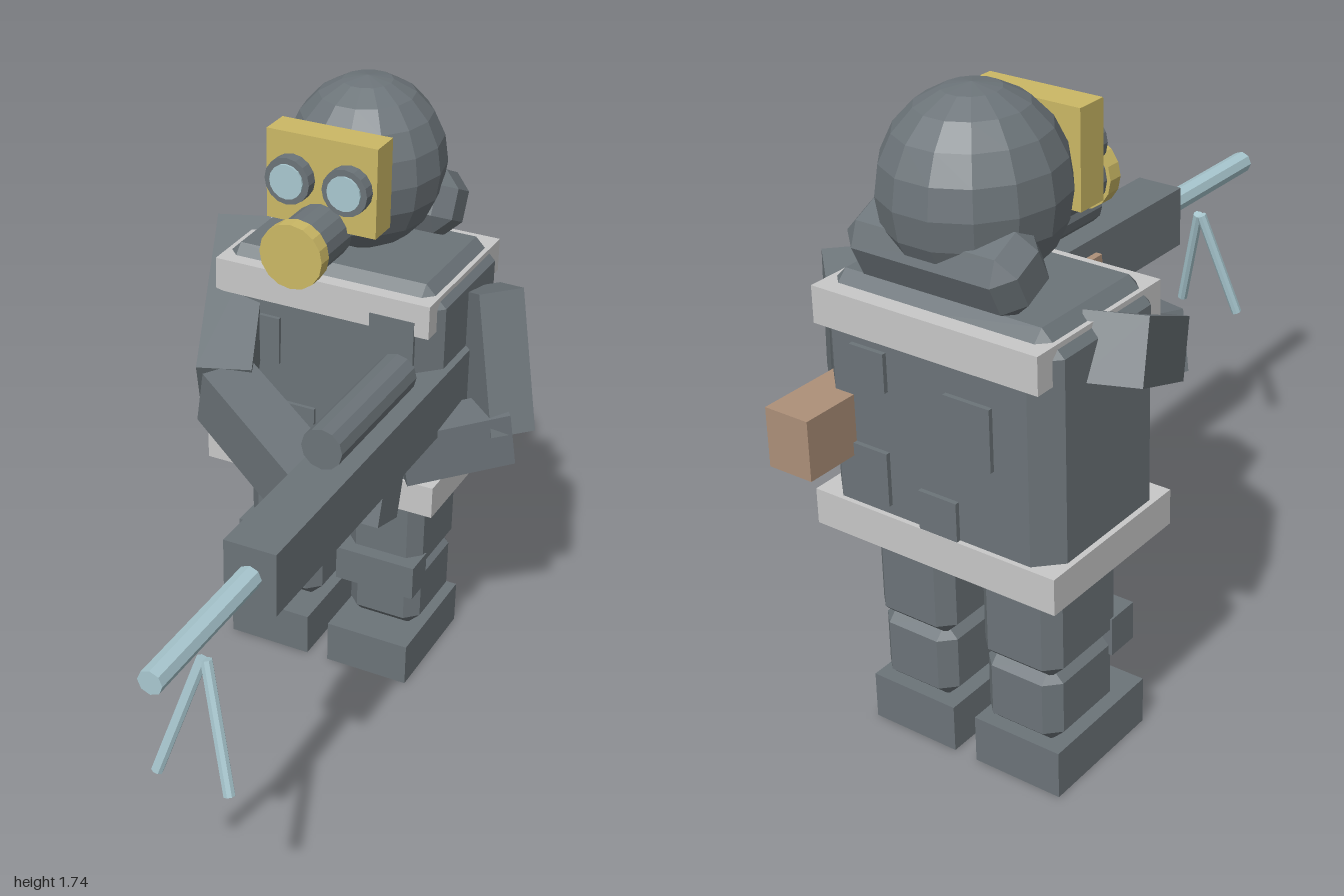
import * as THREE from 'three';
import { ConvexGeometry } from 'three/addons/geometries/ConvexGeometry.js';

const material = (name, color) => {
  const m = new THREE.MeshStandardMaterial({ color, flatShading: true });
  m.name = name;
  return m;
};

export function createModel() {
  const grey = material('dark grey', 0x6c7479);
  const yellow = material('mask yellow', 0xcbb865);
  const white = material('band grey', 0xc8c8c8);
  const wood = material('wood brown', 0xad9079);
  const steel = material('pale blue steel', 0xa9c8d0);

  const model = new THREE.Group();
  const add = (name, geometry, mat, x, y, z) => {
    const mesh = new THREE.Mesh(geometry, mat);
    mesh.name = name;
    mesh.position.set(x, y, z);
    model.add(mesh);
    return mesh;
  };

  // Box given by its limits on each axis
  const box = (name, mat, x0, x1, y0, y1, z0, z1) =>
    add(name, new THREE.BoxGeometry(x1 - x0, y1 - y0, z1 - z0), mat,
      (x0 + x1) / 2, (y0 + y1) / 2, (z0 + z1) / 2);

  // Box with all edges and corners cut by b
  const chamferBox = (name, mat, x0, x1, y0, y1, z0, z1, b) => {
    const half = [(x1 - x0) / 2, (y1 - y0) / 2, (z1 - z0) / 2];
    const points = [];
    for (const sx of [-1, 1]) for (const sy of [-1, 1]) for (const sz of [-1, 1]) {
      for (let axis = 0; axis < 3; axis++) {
        const p = half.map((h, i) => (i === axis ? h : h - b));
        points.push(new THREE.Vector3(sx * p[0], sy * p[1], sz * p[2]));
      }
    }
    return add(name, new ConvexGeometry(points), mat,
      (x0 + x1) / 2, (y0 + y1) / 2, (z0 + z1) / 2);
  };

  // Cylinder along z
  const tubeZ = (name, mat, x, y, z0, z1, r, sides) =>
    add(name, new THREE.CylinderGeometry(r, r, z1 - z0, sides).rotateX(Math.PI / 2),
      mat, x, y, (z0 + z1) / 2);

  // Part stretched along its z axis from point a to point b
  const limb = (name, geometry, mat, a, b) => {
    const from = new THREE.Vector3(...a), to = new THREE.Vector3(...b);
    const mesh = add(name, geometry, mat, 0, 0, 0);
    mesh.scale.z = from.distanceTo(to);
    mesh.position.copy(from).lerp(to, 0.5);
    mesh.lookAt(to);
    return mesh;
  };

  const cx = -0.048;

  // Legs
  for (const [side, x] of [['right', -0.207], ['left', 0.114]]) {
    box(side + 'Boot', grey, x - 0.127, x + 0.127, 0, 0.13, -0.758, -0.392);
    chamferBox(side + 'LowerLeg', grey, x - 0.112, x + 0.112, 0.125, 0.34, -0.75, -0.48, 0.037);
    chamferBox(side + 'UpperLeg', grey, x - 0.117, x + 0.117, 0.315, 0.64, -0.755, -0.472, 0.037);
    box(side + 'KneePad', grey, x - 0.122, x + 0.122, 0.277, 0.382, -0.523, -0.43);
  }

  // Torso with its two bands
  chamferBox('torso', grey, -0.385, 0.29, 0.61, 1.278, -0.84, -0.387, 0.06);
  box('waistBand', white, -0.4, 0.305, 0.608, 0.703, -0.853, -0.378);
  box('chestBand', white, -0.366, 0.272, 1.155, 1.25, -0.853, -0.378);

  // Flat pouches on chest and back: centre x, centre y, width, height
  for (const [x, y, w, h] of [[-0.235, 1.04, 0.13, 0.14], [0.165, 1.13, 0.13, 0.13],
    [-0.135, 0.78, 0.15, 0.15], [0.12, 0.77, 0.15, 0.12]]) {
    box('chestPouch', grey, x - w / 2, x + w / 2, y - h / 2, y + h / 2, -0.392, -0.376);
  }
  for (const [x, y, w, h] of [[-0.165, 1.0, 0.13, 0.16], [0.145, 0.8, 0.14, 0.14],
    [-0.07, 0.75, 0.11, 0.11], [0.12, 1.08, 0.1, 0.1]]) {
    box('backPouch', grey, x - w / 2, x + w / 2, y - h / 2, y + h / 2, -0.852, -0.835);
  }

  // Head and neck guard
  const head = add('helmet', new THREE.SphereGeometry(1, 14, 10), grey, cx, 1.5, -0.645);
  head.scale.set(0.22, 0.24, 0.232);
  const guard = chamferBox('neckGuard', grey, -0.285, 0.19, 1.285, 1.46, -0.84, -0.665, 0.045);
  guard.rotation.x = -0.45;

  // Gas mask
  box('maskPlate', yellow, -0.208, 0.111, 1.408, 1.657, -0.467, -0.378);
  for (const x of [cx - 0.083, cx + 0.083]) {
    tubeZ('goggleRing', grey, x, 1.535, -0.38, -0.343, 0.065, 16);
    tubeZ('goggleLens', steel, x, 1.535, -0.345, -0.337, 0.048, 16);
  }
  tubeZ('filterBody', grey, cx, 1.395, -0.4, -0.245, 0.08, 16);
  tubeZ('filterCap', yellow, cx, 1.395, -0.248, -0.206, 0.09, 16);

  // Arms
  const arm = new THREE.BoxGeometry(0.15, 0.16, 1);
  const arm2 = new THREE.BoxGeometry(0.13, 0.155, 1);
  limb('rightUpperArm', arm, grey, [-0.42, 1.2, -0.65], [-0.24, 0.97, -0.2]);
  limb('rightForearm', arm, grey, [-0.24, 0.965, -0.19], [0.2, 0.855, 0.065]);
  limb('leftUpperArm', arm2, grey, [0.33, 1.2, -0.65], [0.425, 0.83, -0.56]);
  limb('leftForearm', arm2, grey, [0.44, 0.84, -0.56], [0.2, 0.795, -0.38]);

  // Rifle
  box('receiver', grey, 0.17, 0.31, 0.866, 1.04, -0.69, 0.547);
  box('stock', wood, 0.175, 0.302, 0.836, 0.992, -1, -0.67);
  box('handguard', wood, 0.15, 0.2, 0.915, 0.995, 0, 0.13);
  tubeZ('barrel', steel, 0.24, 0.957, 0.54, 1, 0.032, 8);
  tubeZ('scope', grey, 0.24, 1.108, -0.255, 0.18, 0.056, 12);
  const grip = box('grip', grey, 0.2, 0.28, 0.72, 0.89, -0.225, -0.1);
  grip.rotation.x = -0.28;

  // Bipod
  const rod = new THREE.CylinderGeometry(0.015, 0.015, 1, 8).rotateX(Math.PI / 2);
  for (const s of [-1, 1]) {
    limb('bipodLeg', rod, steel, [0.24 + s * 0.005, 0.865, 0.765], [0.24 + s * 0.097, 0.547, 0.83]);
  }

  return model;
}
